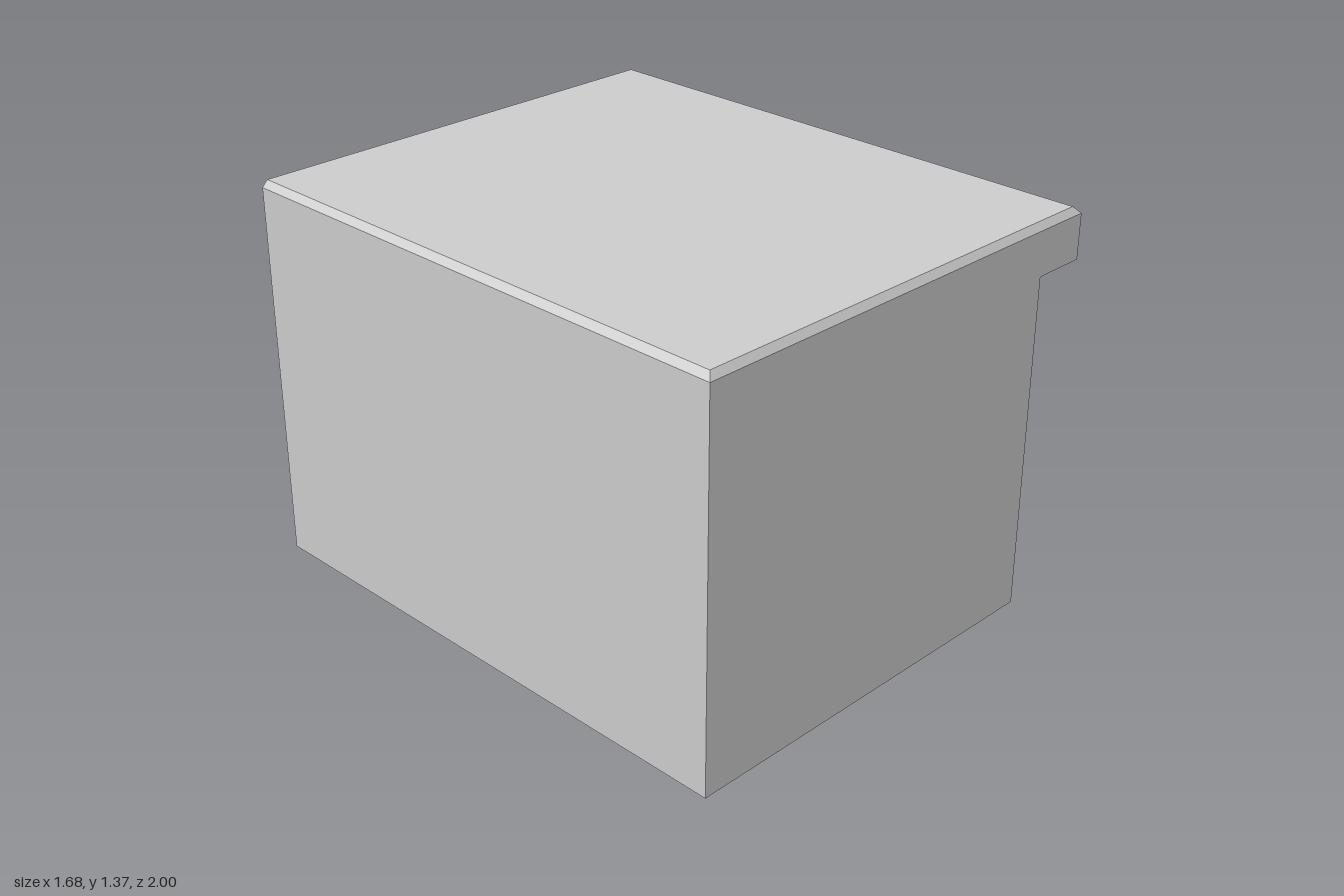
import * as THREE from 'three';

const material = new THREE.MeshStandardMaterial({ color: 0xcccccc, flatShading: true, side: THREE.DoubleSide });

// Joins neighbouring rows of points with flat quads
function loft(rows) {
  const pos = [];
  for (let r = 0; r < rows.length - 1; r++) {
    const a = rows[r], b = rows[r + 1];
    for (let i = 0; i < a.length - 1; i++) {
      pos.push(...a[i], ...b[i], ...b[i + 1], ...a[i], ...b[i + 1], ...a[i + 1]);
    }
  }
  const g = new THREE.BufferGeometry();
  g.setAttribute('position', new THREE.Float32BufferAttribute(pos, 3));
  g.computeVertexNormals();
  return g;
}

export function createModel() {
  const group = new THREE.Group();
  const add = (name, geometry) => {
    const mesh = new THREE.Mesh(geometry, material);
    mesh.name = name;
    group.add(mesh);
    return mesh;
  };

  const side = 0.84, wallX = 0.643, eave = 1.347, top = 1.369, soffit = 1.19, bevel = 0.021;

  // Side wall, bevelled roof and overhang: one open profile run front to back
  const profile = [
    [-side, 0], [-side, eave], [-side + bevel, top], [side - bevel, top],
    [side, eave], [side, soffit], [wallX, soffit],
  ];
  const frontZ = (y) => (y === top ? 1 - bevel : 1);
  add('roofAndSideWall', loft([
    profile.map(([x, y]) => [x, y, -1]),
    profile.map(([x, y]) => [x, y, frontZ(y)]),
  ]));

  // Front wall, including the end of the overhang
  const front = new THREE.Shape([
    [-side, 0], [wallX, 0], [wallX, soffit], [side, soffit], [side, eave], [-side, eave],
  ].map(([x, y]) => new THREE.Vector2(x, y)));
  add('frontWall', new THREE.ShapeGeometry(front).translate(0, 0, 1));

  // Bevel along the front edge of the roof
  add('frontRoofBevel', loft([
    [[-side + bevel, top, 1 - bevel], [side - bevel, top, 1 - bevel]],
    [[-side, eave, 1], [side, eave, 1]],
  ]));

  // Wall under the overhang, with an opening behind each window bay
  const bays = [[0.038, 0.926], [-0.868, -0.086]];
  const y0 = 0.55, y1 = 1.143;
  const rect = (z0, z1, a, b, T) => new T(
    [[-z1, a], [-z0, a], [-z0, b], [-z1, b]].map(([u, v]) => new THREE.Vector2(u, v)));
  const wall = rect(-1, 1, 0, soffit, THREE.Shape);
  for (const [z0, z1] of bays) wall.holes.push(rect(z0, z1, y0, y1, THREE.Path));
  add('windowWall', new THREE.ShapeGeometry(wall).rotateY(Math.PI / 2).translate(wallX, 0, 0));

  // Hollow window bays: straight frame, bevelled rim, flat pane
  bays.forEach(([z0, z1], i) => {
    const ring = (x, d, dy) => [
      [x, y1 - dy, z1 - d], [x, y1 - dy, z0 + d], [x, y0 + dy, z0 + d],
      [x, y0 + dy, z1 - d], [x, y1 - dy, z1 - d],
    ];
    const rim = ring(0.75, 0.037, 0.025);
    add(`windowFrame${i + 1}`, loft([ring(wallX, 0, 0), ring(0.713, 0, 0), rim]));
    add(`windowPane${i + 1}`, loft([[rim[0], rim[1]], [rim[3], rim[2]]]));
  });

  return group;
}
